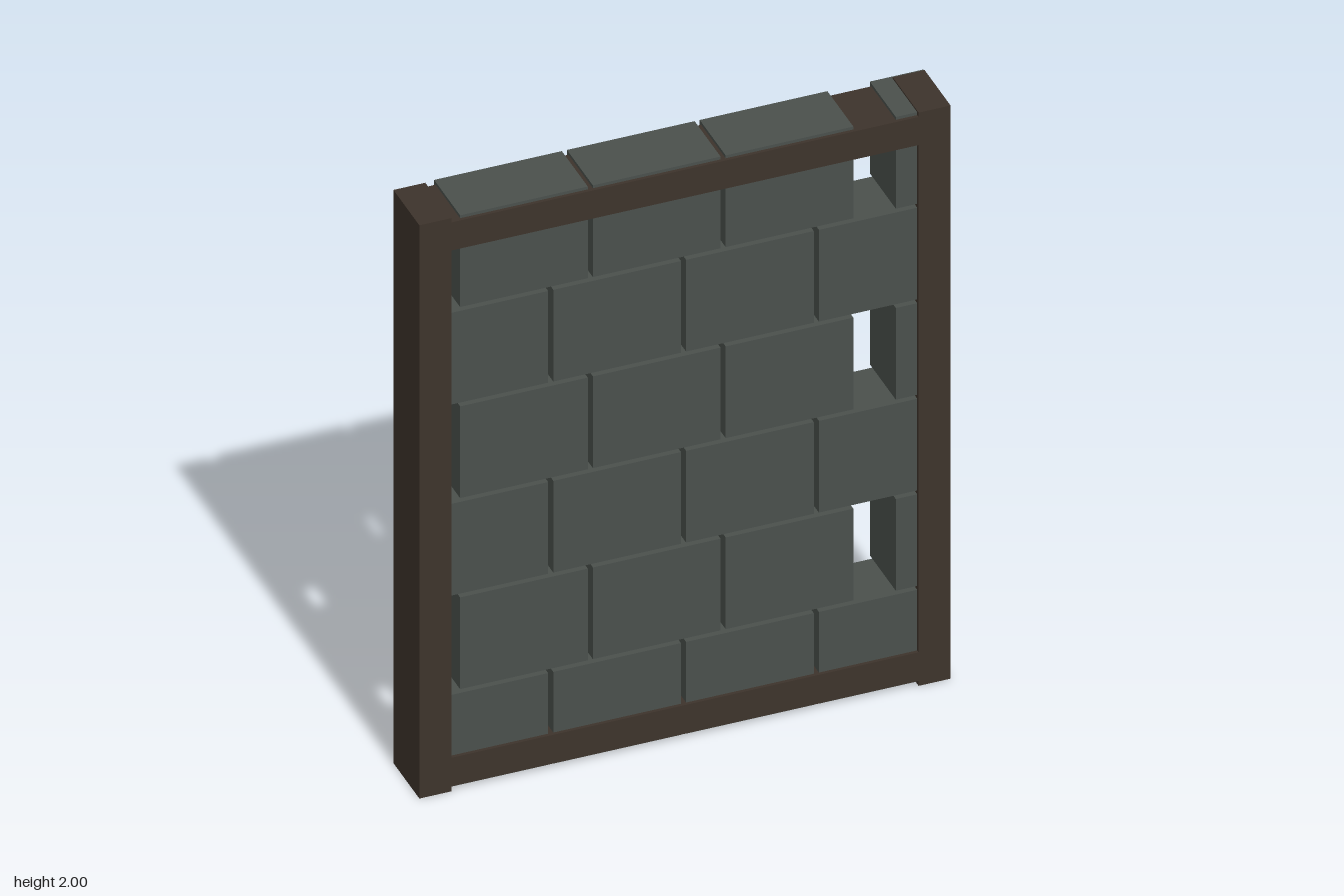
import * as THREE from 'three';

export function createModel() {
  const model = new THREE.Group();
  model.name = 'framedBlockWall';

  const stone = new THREE.MeshStandardMaterial({ color: 0x4a504c });
  stone.name = 'grey stone';
  const wood = new THREE.MeshStandardMaterial({ color: 0x3d332b });
  wood.name = 'dark wood';

  // Box given by its limits on each axis
  function box(name, material, [x0, x1], [y0, y1], [z0, z1], parent) {
    const mesh = new THREE.Mesh(new THREE.BoxGeometry(x1 - x0, y1 - y0, z1 - z0), material);
    mesh.position.set((x0 + x1) / 2, (y0 + y1) / 2, (z0 + z1) / 2);
    mesh.name = name;
    parent.add(mesh);
  }

  // Timber frame: two posts and two rails
  const frame = new THREE.Group();
  frame.name = 'frame';
  model.add(frame);
  const frameZ = [-0.095, 0.105];
  box('leftPost', wood, [0.732, 0.832], [0, 2], frameZ, frame);
  box('rightPost', wood, [-0.832, -0.732], [0, 2], frameZ, frame);
  box('bottomRail', wood, [-0.74, 0.74], [0.017, 0.117], frameZ, frame);
  box('topRail', wood, [-0.74, 0.74], [1.887, 1.985], frameZ, frame);

  // Six courses of blocks, set slightly further back than the frame
  const blockZ = [-0.106, 0.094];
  const pitch = 0.416, width = 0.4, rowPitch = 0.3333, height = 0.32;
  for (let row = 0; row < 6; row++) {
    const course = new THREE.Group();
    course.name = 'course' + (row + 1);
    model.add(course);
    const y = 0.0085 + row * rowPitch;
    const offset = row % 2 === 1;
    const start = offset ? -0.7 : -0.824;
    const count = offset ? 3 : 4;
    for (let i = 0; i < count; i++) {
      const x = start + i * pitch;
      box('block', stone, [x, x + width], [y, y + height], blockZ, course);
    }
    // Offset courses end in a short block after an open gap
    if (offset) box('endBlock', stone, [0.665, 0.833], [y, y + height], blockZ, course);
  }

  return model;
}
